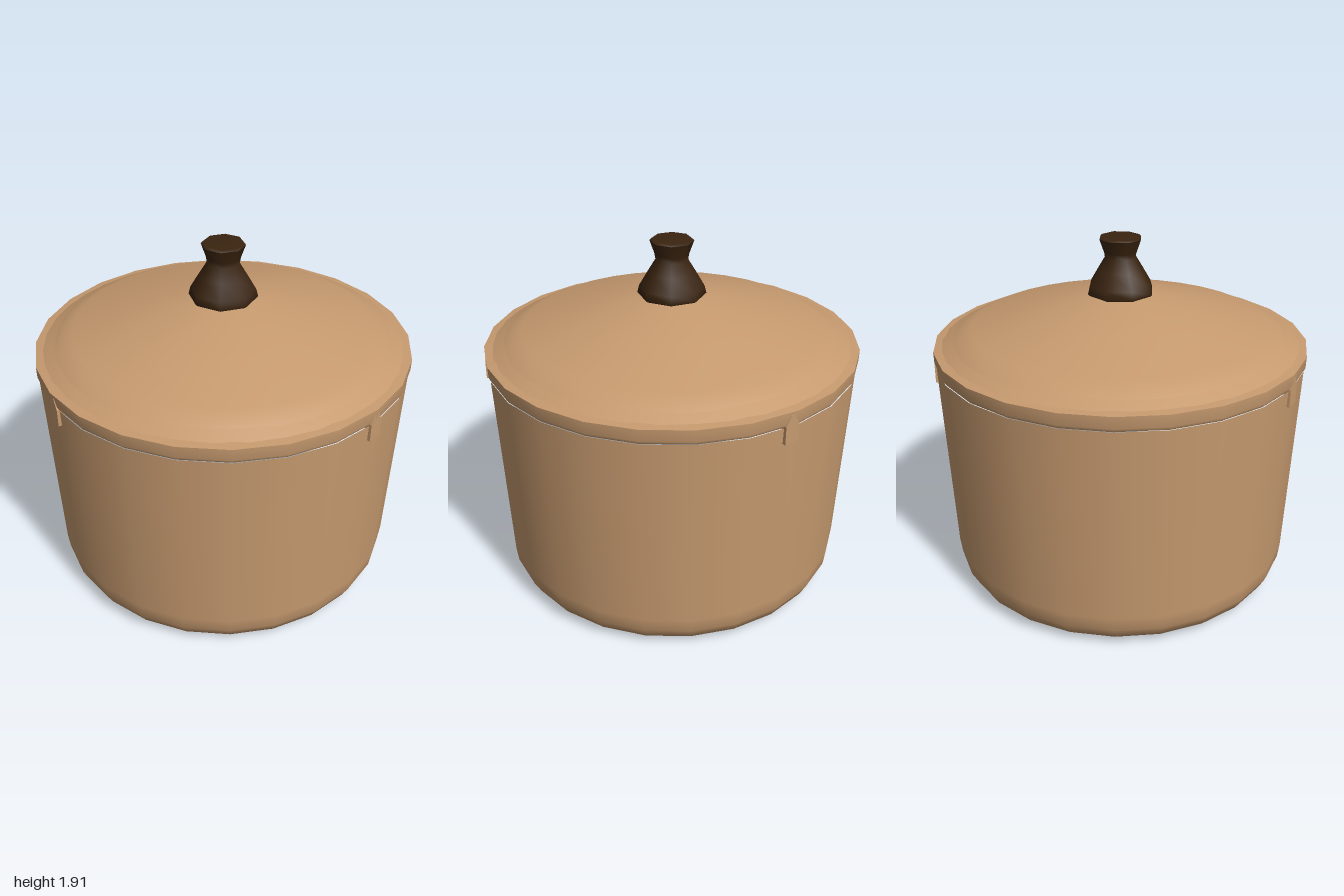
import * as THREE from 'three';

const clay = new THREE.MeshStandardMaterial({ color: 0xc69a6f });
clay.name = 'tan clay';
const wood = new THREE.MeshStandardMaterial({ color: 0x3a2410 });
wood.name = 'dark wood';

const SIDES = 24;

// Revolves a list of [radius, height] points, listed from bottom to top outside
function turned(name, points, sides, material) {
  const profile = points.map(([r, y]) => new THREE.Vector2(r, y));
  const mesh = new THREE.Mesh(new THREE.LatheGeometry(profile, sides), material);
  mesh.name = name;
  return mesh;
}

// Shallow groove that comes and goes around the lid, in degrees from +x to +z
const grooves = [[-102, -65], [-172, -132], [122, 175], [63, 95], [-32, 47]];
function carveLid(geometry) {
  const pos = geometry.attributes.position;
  for (let i = 0; i < pos.count; i++) {
    const x = pos.getX(i), z = pos.getZ(i), r = Math.hypot(x, z);
    if (Math.abs(r - 0.885) > 0.004) continue;
    const a = THREE.MathUtils.radToDeg(Math.atan2(z, x));
    if (grooves.some(([from, to]) => a > from && a < to)) pos.setY(i, 1.37);
  }
}

export function createModel() {
  const pot = new THREE.Group();
  pot.name = 'lidded pot';

  // Tapered body with a rounded foot and a flat base
  pot.add(turned('base', [[0, 0.003], [0.79, 0.003]], SIDES, clay));
  pot.add(turned('body', [
    [0.79, 0.003], [0.9, 0.055], [0.935, 0.12], [0.945, 0.2], [0.99, 1.27],
  ], SIDES, clay));

  // Rim band and its top edge
  pot.add(turned('rim', [[0.985, 1.27], [0.998, 1.29], [1, 1.352]], SIDES, clay));
  pot.add(turned('rimTop', [[1, 1.352], [0.94, 1.36]], SIDES, clay));

  // Shallow domed lid with a broken groove near the edge
  const lid = turned('lid', [
    [0.965, 1.352], [0.9, 1.387], [0.885, 1.393], [0.87, 1.405],
    [0.8, 1.438], [0.5, 1.523], [0.18, 1.605], [0, 1.612],
  ], 36, clay);
  carveLid(lid.geometry);
  pot.add(lid);

  // Faceted flaring knob
  const knob = new THREE.Group();
  knob.name = 'knob';
  knob.add(turned('knobGrip', [
    [0.165, 1.6], [0.182, 1.615], [0.172, 1.655], [0.125, 1.735],
    [0.085, 1.8], [0.09, 1.83], [0.115, 1.9],
  ], 8, wood));
  knob.add(turned('knobTop', [[0.115, 1.9], [0.105, 1.91], [0, 1.91]], 8, wood));
  knob.rotation.y = Math.PI / 8;
  pot.add(knob);

  // Three small pointed tabs hanging below the rim
  const outline = new THREE.Shape([
    [-0.04, 1.185], [0.04, 1.185], [0.04, 1.28], [0.012, 1.335], [-0.012, 1.335], [-0.04, 1.28],
  ].map(([x, y]) => new THREE.Vector2(x, y)));
  const tabGeometry = new THREE.ExtrudeGeometry(outline, { depth: 0.035, bevelEnabled: false });
  for (const degrees of [30, 148, -74]) {
    const holder = new THREE.Group();
    holder.name = 'tab';
    const tab = new THREE.Mesh(tabGeometry, clay);
    tab.name = 'tabPlate';
    tab.position.z = 0.963;
    holder.add(tab);
    holder.rotation.y = THREE.MathUtils.degToRad(degrees);
    pot.add(holder);
  }
  return pot;
}
